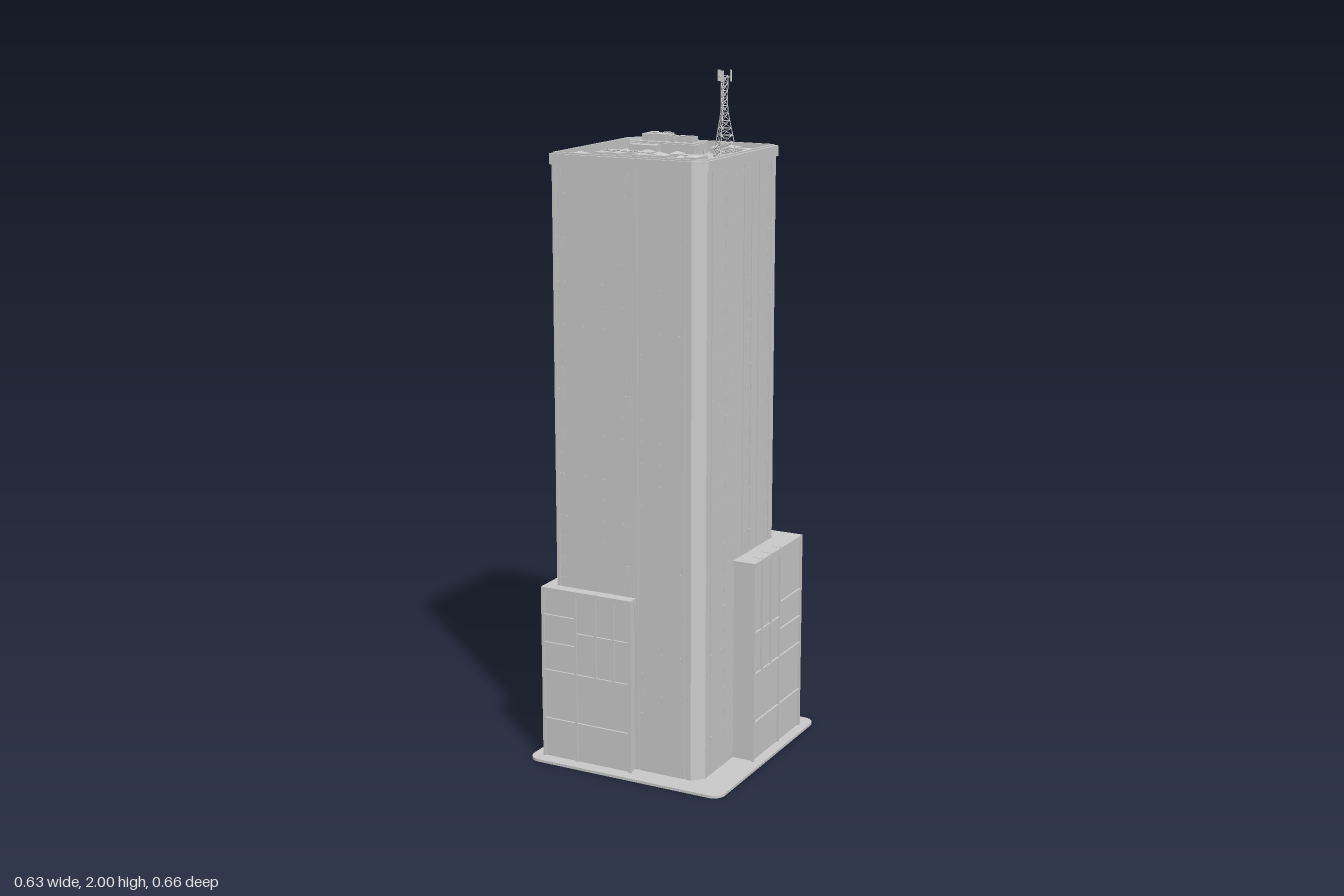
import * as THREE from 'three';
import { mergeGeometries } from 'three/addons/utils/BufferGeometryUtils.js';

const grey = new THREE.MeshStandardMaterial({ color: 0xcccccc, flatShading: true, side: THREE.DoubleSide });
const ROOF = 1.755;

// Box geometry standing on y
function box(w, h, d, x, y, z) {
  return new THREE.BoxGeometry(w, h, d).translate(x, y + h / 2, z);
}
function drum(r, h, x, y, z, n = 12) {
  return new THREE.CylinderGeometry(r, r, h, n).translate(x, y + h / 2, z);
}
// Thin rod between two points
function rod(a, b, r) {
  const dir = b.clone().sub(a);
  const g = new THREE.CylinderGeometry(r, r, dir.length(), 4);
  g.applyQuaternion(new THREE.Quaternion().setFromUnitVectors(new THREE.Vector3(0, 1, 0), dir.normalize()));
  return g.translate((a.x + b.x) / 2, (a.y + b.y) / 2, (a.z + b.z) / 2);
}
function add(parent, name, geos) {
  const mesh = new THREE.Mesh(geos.length > 1 ? mergeGeometries(geos) : geos[0], grey);
  mesh.name = name;
  parent.add(mesh);
}
// Extrude a plan (x, z) upward
function raise(shape, y, h, curveSegments = 6) {
  return new THREE.ExtrudeGeometry(shape, { depth: h, bevelEnabled: false, curveSegments })
    .rotateX(-Math.PI / 2).translate(0, y, 0);
}
// Tower plan with two cut corners, as shape points (x, -z)
function plan(inset) {
  const c = 0.034 - inset * 0.58, l = -0.252 + inset, r = 0.225 - inset, b = 0.209 - inset, f = -0.267 + inset;
  return [[l, f], [r - c, f], [r, f + c], [r, b], [l + c, b], [l, b - c]].map(p => new THREE.Vector2(...p));
}
// Cut shallow grooves into plan edges; each groove is a fraction along the edge
function grooved(pts, grooves) {
  const out = [], half = 0.003, depth = 0.004;
  pts.forEach((a, i) => {
    const d = pts[(i + 1) % pts.length].clone().sub(a), len = d.length();
    d.normalize();
    const at = (s, n) => new THREE.Vector2(a.x + d.x * s - d.y * n, a.y + d.y * s + d.x * n);
    out.push(a);
    for (const t of grooves[i]) {
      const s = t * len;
      out.push(at(s - half, 0), at(s - half, depth), at(s + half, depth), at(s + half, 0));
    }
  });
  return new THREE.Shape(out);
}

// Low wing wrapped round a tower corner, with framed panels on both outer faces
function wing(name, cx, cz, w, h, bays) {
  const g = new THREE.Group();
  g.name = name;
  const sx = -Math.sign(cx), sz = -Math.sign(cz), t = 0.006;
  add(g, 'wingWall', [box(w - 2 * t, h - 0.012, w - 2 * t, cx + sx * w / 2, 0.004, cz + sz * w / 2)]);
  add(g, 'wingCap', [box(w, 0.016, w, cx + sx * w / 2, h - 0.016, cz + sz * w / 2)]);
  const frame = [];
  // Bar spanning u0..u1 from the corner, laid on both faces
  const bar = (u0, u1, y0, y1) => {
    const m = (u0 + u1) / 2, l = u1 - u0;
    frame.push(box(l, y1 - y0, 0.008, cx + sx * m, y0, cz + sz * 0.004));
    frame.push(box(0.008, y1 - y0, l, cx + sx * 0.004, y0, cz + sz * m));
  };
  bar(0, 0.008, 0, h);
  bar(w - 0.01, w, 0, h);
  bays.forEach((u, i) => bar(u - 0.003, u + 0.003, i ? 0.27 : 0, h));
  for (const y of [0.12, 0.27]) bar(0, w, y, y + 0.008);
  for (const y of [0.355, 0.44]) bar(0, bays[0], y, y + 0.008);
  bar(bays[0], w, 0.4, 0.404);
  add(g, 'wingFrame', frame);
  // Slim seams along the roof edge
  const seams = [];
  for (const u of bays) {
    seams.push(box(0.002, 0.002, 0.034, cx + sx * u, h - 0.001, cz + sz * 0.017));
    seams.push(box(0.034, 0.002, 0.002, cx + sx * 0.017, h - 0.001, cz + sz * u));
  }
  add(g, 'wingRoofSeams', seams);
  return g;
}

// Roof duct: two hoods, a bend and a small outlet
function duct(x, z, dx, dz, y) {
  const zc = z + dz * 0.053, x2 = x + dx * 0.077, x3 = x + dx * 0.134, geos = [];
  const hood = (s, hx, hz, h) => {
    geos.push(box(s, h, s, hx, y, hz));
    geos.push(new THREE.CylinderGeometry(0.002, s * 0.7, 0.006, 4).rotateY(Math.PI / 4).translate(hx, y + h + 0.003, hz));
  };
  hood(0.038, x, z, 0.02);
  hood(0.036, x2, zc, 0.02);
  hood(0.024, x3, zc, 0.016);
  geos.push(box(0.024, 0.016, 0.053, x, y + 0.002, (z + zc) / 2));
  geos.push(box(0.09, 0.016, 0.024, (x + x2) / 2 + dx * -0.006, y + 0.002, zc));
  geos.push(box(0.05, 0.012, 0.017, (x2 + x3) / 2, y + 0.002, zc));
  geos.push(box(0.006, 0.016, 0.022, (x2 + x3) / 2, y, zc));
  return geos;
}
// Cooling unit with a fan ring and crossed blades
function cooler(w, d, h, r, x, y, z, fanZ) {
  const geos = [box(w, h, d, x, y, z)];
  geos.push(new THREE.TorusGeometry(r, 0.0012, 4, 12).rotateX(Math.PI / 2).translate(x, y + h + 0.001, z + fanZ));
  for (let i = 0; i < 4; i++)
    geos.push(new THREE.BoxGeometry(r * 2, 0.001, 0.002).rotateY(i * Math.PI / 4).translate(x, y + h + 0.001, z + fanZ));
  return geos;
}

// Three-legged lattice mast with panel aerials
function mast() {
  const geos = [], levels = 11, top = 1.985;
  const node = (k, i) => {
    const y = ROOF + (top - ROOF) * i / levels, r = Math.max(0.011, 0.04 - 0.05 * i / levels);
    const a = k * Math.PI * 2 / 3 + 0.2;
    return new THREE.Vector3(0.118 + r * Math.sin(a), y, -0.073 + r * Math.cos(a));
  };
  for (let i = 0; i < levels; i++) for (let k = 0; k < 3; k++) {
    geos.push(rod(node(k, i), node(k, i + 1), 0.0015));
    geos.push(rod(node(k, i), node(k + 1, i + 1), 0.001), rod(node(k + 1, i), node(k, i + 1), 0.001));
    geos.push(rod(node(k, i + 1), node(k + 1, i + 1), 0.001));
  }
  for (let k = 0; k < 3; k++) {
    const a = k * Math.PI * 2 / 3 + 0.2, s = Math.sin(a), c = Math.cos(a);
    geos.push(new THREE.BoxGeometry(0.008, 0.032, 0.004).rotateY(a).translate(0.118 + 0.02 * s, 1.984, -0.073 + 0.02 * c));
    geos.push(rod(new THREE.Vector3(0.118, 1.98, -0.073), new THREE.Vector3(0.118 + 0.02 * s, 1.98, -0.073 + 0.02 * c), 0.0012));
  }
  return geos;
}

// Window slits and tiny ledges on one face; place(u, y) puts a box of given width and height there
function faceDetails(place, slits, from, to, seed) {
  let s = seed;
  const rand = () => (s = (s * 16807) % 2147483647) / 2147483647;
  for (const u of slits) for (let y = 0.1; y < 1.72; y += 0.062)
    if (rand() < 0.7) for (const o of [-0.006, 0.006]) place(u + o, y, 0.004, 0.026);
  for (let y = 0.06; y < 1.74; y += 0.062) for (let i = 0; i < 7; i++)
    if (rand() < 0.6) place(from + (to - from) * (i + 0.5) / 7, y, 0.006, 0.003);
}

export function createModel() {
  const model = new THREE.Group();
  model.name = 'officeTower';

  // Rounded ground slab
  const x = 0.315, z0 = -0.33, z1 = 0.333, r = 0.035, s = new THREE.Shape();
  s.moveTo(-x + r, z0).lineTo(x - r, z0).absarc(x - r, z0 + r, r, -Math.PI / 2, 0)
    .absarc(x - r, z1 - r, r, 0, Math.PI / 2).absarc(-x + r, z1 - r, r, Math.PI / 2, Math.PI)
    .absarc(-x + r, z0 + r, r, Math.PI, Math.PI * 1.5);
  add(model, 'groundSlab', [raise(s, 0, 0.008)]);

  // Tower shaft with vertical grooves, and stepped parapet
  const grooves = [[0.03, 0.62, 0.96], [], [0.07, 0.53, 0.64, 0.75, 0.93], [0.15, 0.67, 0.77], [], [0.32, 0.57, 0.71, 0.95]];
  add(model, 'towerShaft', [raise(grooved(plan(0.005), grooves), 0.004, ROOF - 0.004)]);
  const ring = (a, b, h) => {
    const shape = new THREE.Shape(plan(a));
    shape.holes.push(new THREE.Path(plan(b)));
    return raise(shape, ROOF - 0.003, h + 0.003);
  };
  add(model, 'parapet', [ring(0, 0.008, 0.027), ring(0.008, 0.015, 0.031)]);

  // Facade slits and ledges on all four sides
  const bits = [], t = 0.003;
  const onZ = z => (u, y, w, h) => bits.push(box(w, h, t, u, y, z));
  const onX = px => (u, y, w, h) => bits.push(box(t, h, w, px, y, u));
  faceDetails(onZ(0.262), [-0.225, -0.01], -0.24, 0.185, 11);
  faceDetails(onX(0.22), [0.115, -0.025, -0.16], -0.2, 0.225, 23);
  faceDetails(onZ(-0.204), [0.175, -0.06, -0.13], -0.21, 0.215, 37);
  faceDetails(onX(-0.247), [-0.05, 0.09, 0.225], -0.17, 0.255, 51);
  add(model, 'facadeDetails', bits);

  // Two corner wings
  model.add(wing('frontWing', -0.283, 0.295, 0.296, 0.53, [0.113, 0.178, 0.238]));
  model.add(wing('backWing', 0.29, -0.273, 0.33, 0.615, [0.153, 0.214, 0.274]));

  // Rooftop
  const roof = new THREE.Group();
  roof.name = 'rooftop';
  model.add(roof);
  add(roof, 'plantPlatforms', [
    box(0.2, 0.03, 0.09, -0.074, ROOF, -0.113), box(0.19, 0.034, 0.08, -0.074, ROOF, -0.113),
    box(0.33, 0.006, 0.12, -0.005, ROOF, 0.121), box(0.088, 0.028, 0.034, -0.121, ROOF, -0.048)]);
  const units = [], backY = ROOF + 0.034, frontY = ROOF + 0.006;
  for (const px of [-0.136, -0.095]) units.push(...cooler(0.034, 0.058, 0.02, 0.011, px, backY, -0.119, -0.018));
  for (const px of [-0.06, -0.03, -0.001]) units.push(...cooler(0.02, 0.035, 0.016, 0.008, px, backY, -0.109, 0));
  for (const px of [-0.147, -0.094]) units.push(...cooler(0.034, 0.06, 0.02, 0.011, px, frontY, 0.142, -0.018));
  for (let i = 0; i < 4; i++) {
    units.push(...cooler(0.02, 0.035, 0.016, 0.008, -0.157 + i * 0.027, frontY, 0.082, 0));
    units.push(...cooler(0.033, 0.058, 0.02, 0.011, -0.03 + i * 0.051, ROOF, 0.216, 0.018));
  }
  add(roof, 'coolingUnits', units);
  add(roof, 'ducts', [
    ...duct(0.18, -0.113, -1, -1, ROOF), ...duct(-0.21, 0.17, 1, 1, ROOF),
    ...duct(-0.037, 0.095, 1, 1, frontY), ...duct(0.135, 0.148, -1, -1, frontY)]);
  add(roof, 'vents', [
    drum(0.008, 0.016, 0.183, ROOF, 0.035), box(0.017, 0.014, 0.017, 0.184, ROOF, 0.203), drum(0.006, 0.018, 0.184, ROOF, 0.203),
    drum(0.003, 0.02, 0.06, ROOF, -0.067, 8), drum(0.003, 0.02, 0.183, ROOF, -0.047, 8),
    drum(0.003, 0.02, -0.21, ROOF, 0.01, 8), drum(0.003, 0.045, -0.015, ROOF, -0.14, 8)]);

  // Loose cables lying along the back edge
  const cables = [0, 1, 2].map(k => new THREE.TubeGeometry(new THREE.CatmullRomCurve3(
    Array.from({ length: 9 }, (_, i) => new THREE.Vector3(-0.19 + 0.185 * i / 8, ROOF + 0.002,
      -0.188 + 0.02 * Math.sin(Math.PI * i / 16) + 0.003 * Math.sin(i * 1.7 + k * 2)))), 32, 0.001, 4));
  add(roof, 'cables', cables);
  add(roof, 'mast', mast());
  return model;
}
